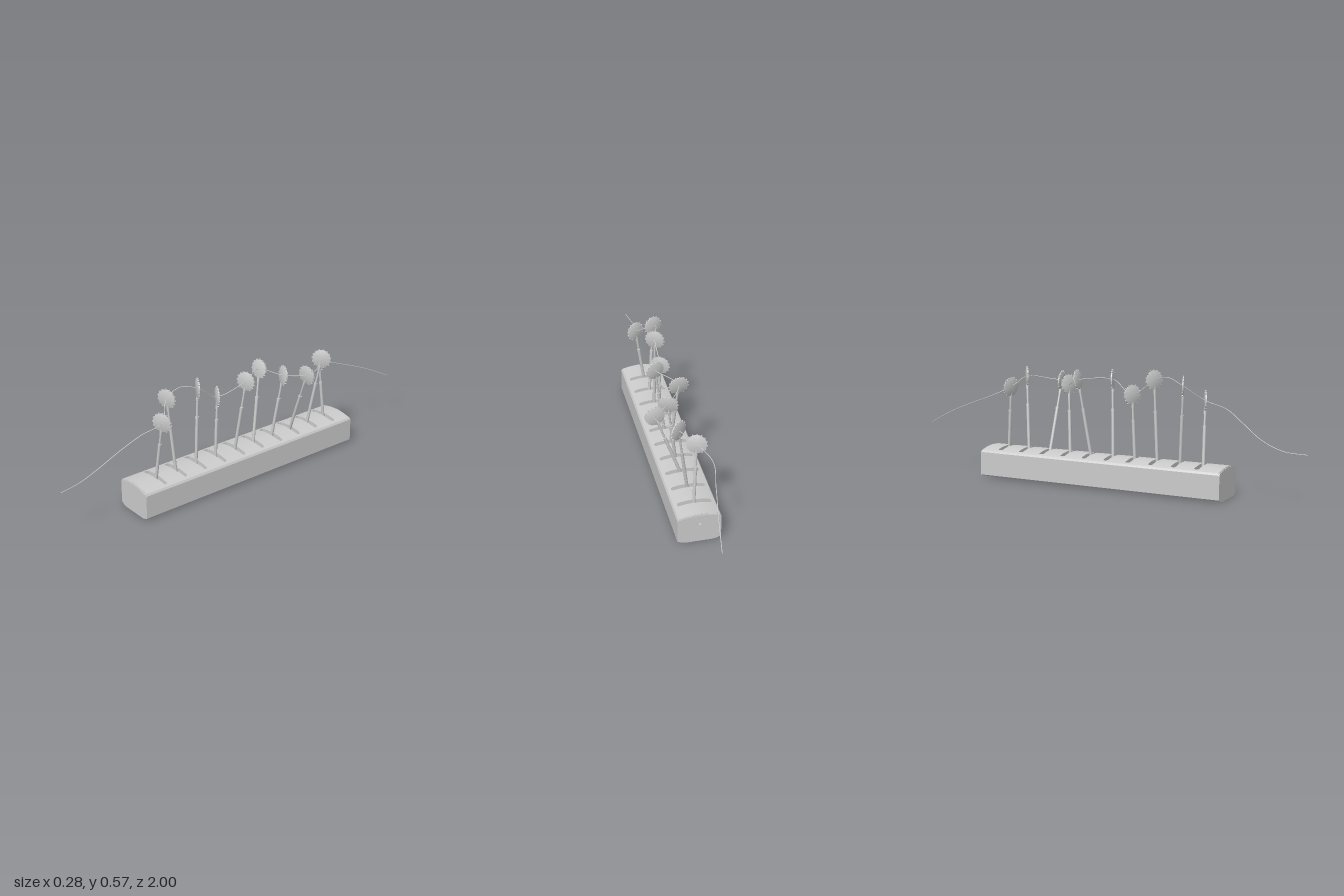
import * as THREE from 'three';
import { mergeGeometries, toCreasedNormals } from 'three/addons/utils/BufferGeometryUtils.js';

const CX = -0.038;            // centre line of the base
const HALF = 0.101;           // half width of the base
const FRONT = 0.625, BACK = -0.64;
const PIVOT_Y = 0.125;
const SLOT_HALF = 0.012, SLOT_REACH = 0.08, SLOT_DEPTH = 0.02;

// disc centre x, y, z and the sideways slope (dz/dx) of the disc, front to back
const HEADS = [
  [0.012, 0.437, 0.49, -0.5], [-0.06, 0.507, 0.41, -0.38],
  [-0.035, 0.523, 0.253, 0.5], [-0.035, 0.447, 0.14, 0.5],
  [0.018, 0.507, 0.01, -0.35], [-0.06, 0.505, -0.135, -0.1],
  [0.012, 0.47, -0.225, 0.33], [0.09, 0.475, -0.308, -0.15],
  [0.02, 0.495, -0.465, -0.75], [-0.05, 0.447, -0.515, 0.3],
];
const slotZ = (i) => 0.503 - i * 0.116;

const topY = (x) => 0.134 + 0.016 * (1 - (x / HALF) ** 2);

// Cross-section of the base; reach > 0 sinks a groove into the crown
function baseProfile(reach, drop) {
  const pts = [[-0.065, 0], [0.065, 0], [0.085, 0.005], [HALF, 0.013], [HALF, 0.126 - drop]];
  const edge = 0.095;
  const arc = (a, b, n, sink) => {
    for (let i = 0; i <= n; i++) {
      const x = a + (b - a) * i / n;
      pts.push([x, topY(x) - drop - sink]);
    }
  };
  if (reach > 0) {
    arc(edge, reach, 4, 0);
    arc(reach, -reach, 16, SLOT_DEPTH);
    arc(-reach, -edge, 4, 0);
  } else arc(edge, -edge, 24, 0);
  pts.push([-HALF, 0.126 - drop], [-HALF, 0.013], [-0.085, 0.005]);
  return new THREE.Shape(pts.map(([x, y]) => new THREE.Vector2(x, y)));
}

function slice(z0, z1, reach = 0, drop = 0, hole = false) {
  const shape = baseProfile(reach, drop);
  if (hole) shape.holes.push(new THREE.Path().absarc(0, 0.1, 0.009, 0, Math.PI * 2, true));
  const g = new THREE.ExtrudeGeometry(shape, { depth: z1 - z0, bevelEnabled: false, curveSegments: 10 });
  return g.translate(CX, 0, z0);
}

function makeBase() {
  const parts = [];
  // Rounded top edge at both ends, with the cable hole at the back
  const R = 0.009, N = 4;
  for (let i = 0; i < N; i++) {
    const a = R * i / N, b = R * (i + 1) / N;
    const t = (i + 0.5) / N;
    const drop = R * (1 - Math.sqrt(1 - (1 - t) ** 2));
    parts.push(slice(FRONT - b, FRONT - a, 0, drop));
    parts.push(slice(BACK + a, BACK + b, 0, drop, true));
  }
  // Solid stretches between grooves, and grooves with rounded ends
  let z = FRONT - R;
  HEADS.forEach((_, i) => {
    const c = slotZ(i), steps = 8;
    parts.push(slice(c + SLOT_HALF, z));
    for (let k = 0; k < steps; k++) {
      const a = c - SLOT_HALF + 2 * SLOT_HALF * k / steps;
      const mid = (2 * (k + 0.5)) / steps - 1;
      const reach = SLOT_REACH - SLOT_HALF + SLOT_HALF * Math.sqrt(1 - mid * mid);
      parts.push(slice(a, a + 2 * SLOT_HALF / steps, reach));
    }
    z = c - SLOT_HALF;
  });
  parts.push(slice(BACK + R, z));
  return toCreasedNormals(mergeGeometries(parts), 0.5);
}

// Telescopic stem with a toothed disc, along local +y, disc facing local z
function makeHead(length, mat) {
  const head = new THREE.Group();
  const add = (name, geo, y) => {
    const m = new THREE.Mesh(geo, mat);
    m.name = name;
    m.position.y = y;
    head.add(m);
    return m;
  };
  const rod = (name, r, a, b) => add(name, new THREE.CylinderGeometry(r, r, b - a, 14), (a + b) / 2);
  const lower = length * 0.64;
  rod('lowerStem', 0.0075, -0.012, lower);
  rod('stemCollar', 0.0085, lower - 0.012, lower);
  rod('upperStem', 0.005, lower, length - 0.03);
  rod('discSocket', 0.0065, length - 0.062, length - 0.042);

  // Disc, slightly thicker in the middle
  const profile = [[0, -0.005], [0.043, -0.0038], [0.045, -0.003], [0.045, 0.003], [0.043, 0.0038], [0, 0.005]]
    .map(([x, y]) => new THREE.Vector2(x, y));
  const disc = toCreasedNormals(new THREE.LatheGeometry(profile, 40).rotateX(Math.PI / 2), 0.5);
  add('disc', disc, length);

  // Small teeth around the rim, leaving the stem side free
  for (let i = 0; i < 13; i++) {
    const a = THREE.MathUtils.degToRad(-55 + i * 290 / 12);
    const tooth = add('rimTooth', new THREE.BoxGeometry(0.006, 0.005, 0.006), length + Math.sin(a) * 0.0462);
    tooth.position.x = Math.cos(a) * 0.0462;
    tooth.rotation.z = a;
  }
  return head;
}

export function createModel() {
  const model = new THREE.Group();
  const mat = new THREE.MeshStandardMaterial({ color: 0xcccccc });

  const base = new THREE.Mesh(makeBase(), mat);
  base.name = 'slottedBase';
  model.add(base);

  HEADS.forEach(([x, y, z, slope], i) => {
    const foot = new THREE.Vector3(CX + 0.003, PIVOT_Y, slotZ(i));
    const up = new THREE.Vector3(x, y, z).sub(foot);
    const length = up.length();
    up.normalize();
    const right = up.clone().cross(new THREE.Vector3(-slope, 0, 1)).normalize();
    const head = makeHead(length, mat);
    head.name = 'stemWithDisc';
    head.quaternion.setFromRotationMatrix(
      new THREE.Matrix4().makeBasis(right, up, right.clone().cross(up)));
    head.position.copy(foot);
    model.add(head);
  });

  // Wire running through all discs and trailing off at both ends
  const path = [
    [-0.04, 0.235, 1], [-0.053, 0.245, 0.89], [-0.05, 0.285, 0.79], [-0.025, 0.35, 0.69], [0.003, 0.405, 0.6],
    ...HEADS.slice(0, 2), [-0.06, 0.542, 0.335], ...HEADS.slice(2, 8),
    [0.085, 0.482, -0.37], ...HEADS.slice(8),
    [-0.103, 0.403, -0.6], [-0.085, 0.36, -0.72], [-0.06, 0.305, -0.86], [-0.04, 0.235, -1],
  ].map(([x, y, z]) => new THREE.Vector3(x, y, z));
  const wire = new THREE.Mesh(
    new THREE.TubeGeometry(new THREE.CatmullRomCurve3(path), 240, 0.0018, 8), mat);
  wire.name = 'wire';
  model.add(wire);

  return model;
}
